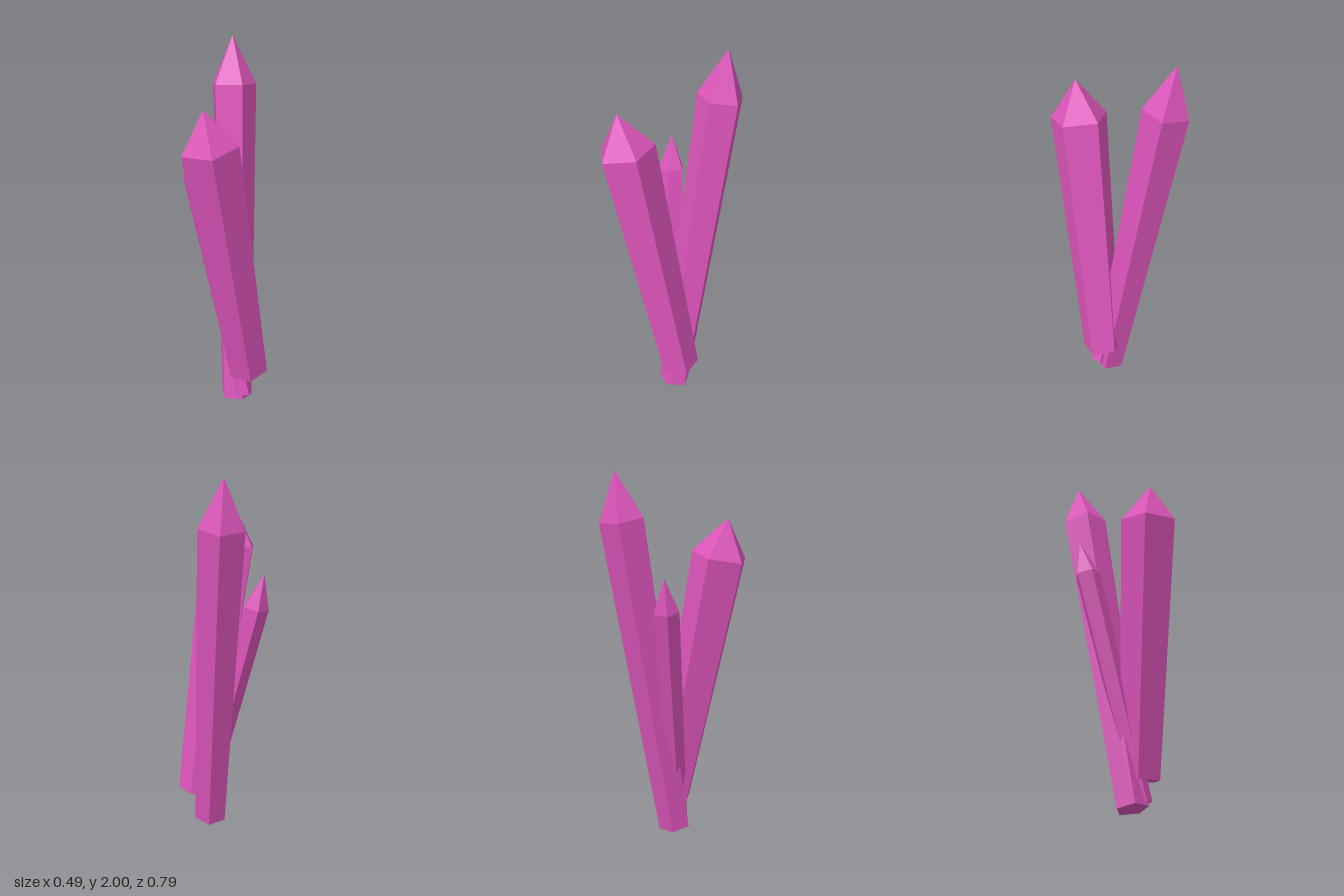
import * as THREE from 'three';

const SIDES = 5;

// A pentagonal shard: flat base, shaft widening towards the shoulder, pointed tip.
function crystal(name, base, shoulder, tipHeight, radius, turn, material) {
  const start = new THREE.Vector3(...base);
  const axis = new THREE.Vector3(...shoulder).sub(start);
  const length = axis.length();
  const profile = [
    [0, 0],
    [radius * 0.7, 0],
    [radius, length],
    [0, length + tipHeight],
  ].map(([r, y]) => new THREE.Vector2(r, y));

  const geometry = new THREE.LatheGeometry(profile, SIDES, THREE.MathUtils.degToRad(turn));
  const mesh = new THREE.Mesh(geometry, material);
  mesh.name = name;
  mesh.position.copy(start);
  // Lean the shard along its axis
  mesh.quaternion.setFromUnitVectors(new THREE.Vector3(0, 1, 0), axis.normalize());
  return mesh;
}

export function createModel() {
  const group = new THREE.Group();
  group.name = 'crystalCluster';
  const material = new THREE.MeshStandardMaterial({ color: 0xdd55bb, flatShading: true });

  group.add(
    crystal('frontCrystal', [0.139, 0.18, 0.017], [-0.024, 1.547, 0.246], 0.205, 0.154, 90, material),
    crystal('backCrystal', [0.07, 0.016, 0.018], [-0.016, 1.747, -0.271], 0.257, 0.125, 180, material),
    crystal('smallCrystal', [0.12, 0.048, 0.047], [-0.179, 1.285, -0.07], 0.187, 0.071, -95, material),
  );
  return group;
}
